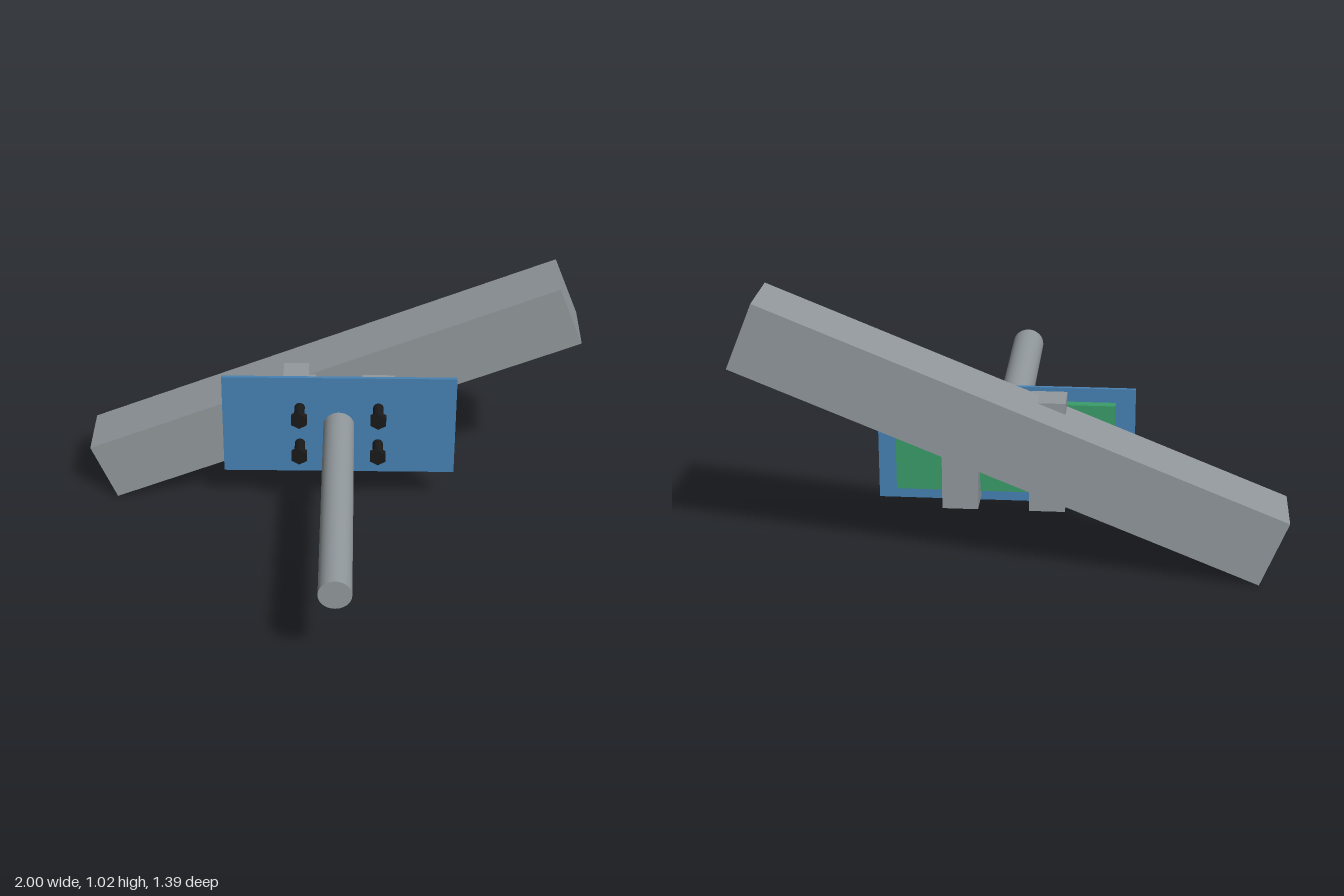
import * as THREE from 'three';

const material = (color) => new THREE.MeshStandardMaterial({ color });

export function createModel() {
  const model = new THREE.Group();
  const grey = material(0x92999d);
  const blue = material(0x4682b4);
  const green = material(0x3a9d6a);
  const black = material(0x1a1a1a);

  const add = (name, geometry, mat, parent = model) => {
    const mesh = new THREE.Mesh(geometry, mat);
    mesh.name = name;
    parent.add(mesh);
    return mesh;
  };
  // Box given by its extents on each axis
  const box = (name, [x0, x1], [y0, y1], [z0, z1], mat) =>
    add(name, new THREE.BoxGeometry(x1 - x0, y1 - y0, z1 - z0), mat)
      .position.set((x0 + x1) / 2, (y0 + y1) / 2, (z0 + z1) / 2);
  // Cylinder running along z
  const rod = (name, radius, z0, z1, sides, mat, parent) => {
    const geometry = new THREE.CylinderGeometry(radius, radius, z1 - z0, sides);
    geometry.rotateX(Math.PI / 2).translate(0, 0, (z0 + z1) / 2);
    return add(name, geometry, mat, parent);
  };

  // Tilted beam at the back
  const beam = add('beam', new THREE.BoxGeometry(2.052, 0.265, 0.245), grey);
  beam.position.set(0, 0.51, -0.573);
  beam.rotation.z = Math.atan2(0.775, 1.9);

  // Face plate with the pad behind it
  box('facePlate', [-0.44, 0.51], [0.177, 0.632], [-0.414, -0.4], blue);
  box('backingPad', [-0.368, 0.44], [0.228, 0.579], [-0.45, -0.414], green);

  // Upright clamp blocks set into the beam
  for (const x of [-0.125, 0.194])
    box('clampBlock', [x - 0.066, x + 0.066], [0.192, 0.617], [-0.536, -0.414], grey);

  // Round pole pointing forward
  rod('pole', 0.063, -0.4, 0.695, 48, grey).position.set(0.034, 0.404, 0);

  // Four hex bolts
  const hexMaterial = black.clone();
  hexMaterial.flatShading = true;
  for (const x of [-0.125, 0.194]) {
    for (const y of [0.317, 0.492]) {
      const bolt = new THREE.Group();
      bolt.name = 'bolt';
      bolt.position.set(x, y, 0);
      rod('boltShank', 0.021, -0.41, -0.32, 24, black, bolt);
      rod('boltHead', 0.036, -0.321, -0.295, 6, hexMaterial, bolt);
      model.add(bolt);
    }
  }
  return model;
}
